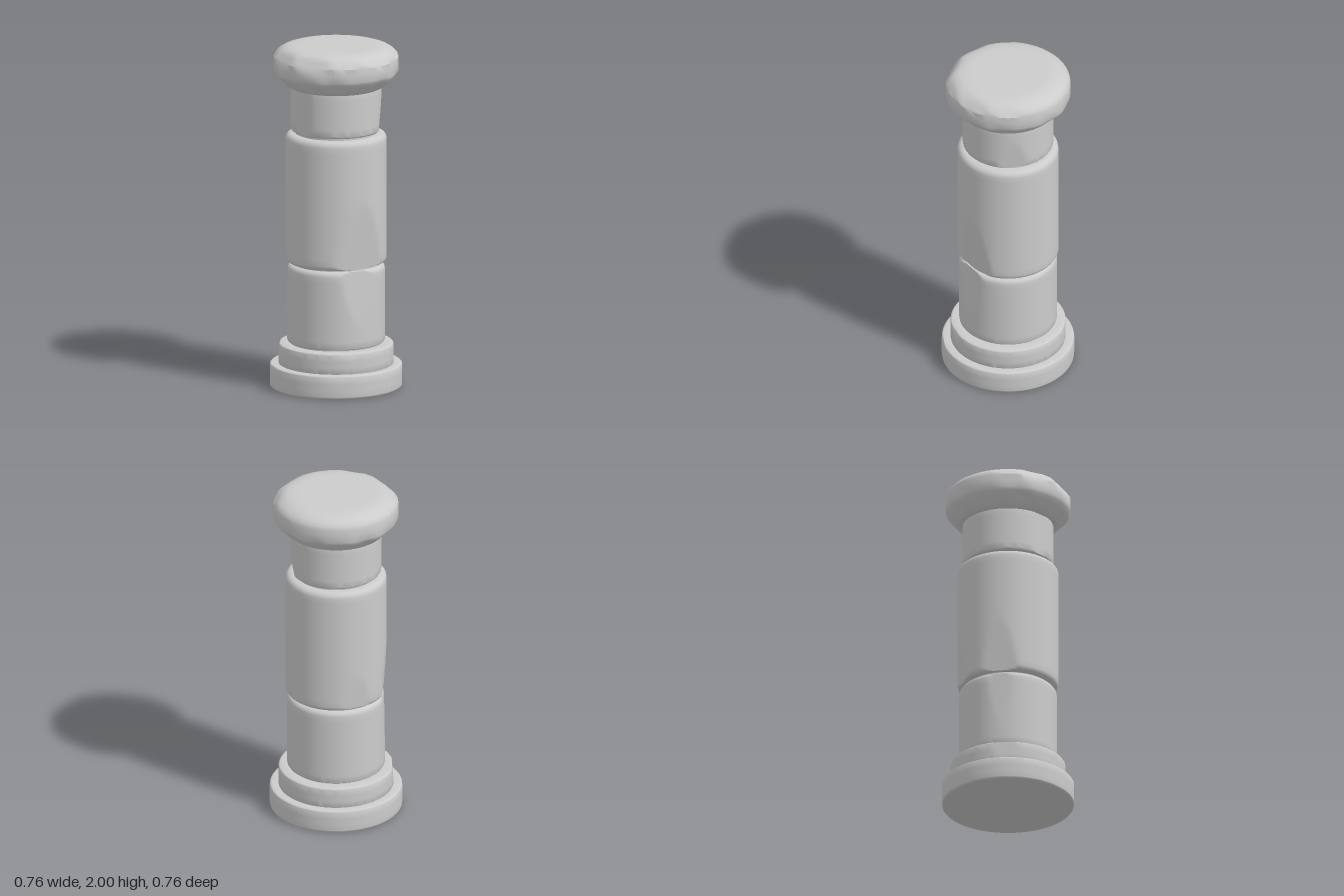
import * as THREE from 'three';
import { mergeVertices, toCreasedNormals } from 'three/addons/utils/BufferGeometryUtils.js';

const SIDES = 80;
const material = new THREE.MeshStandardMaterial({ color: 0xcccccc });

// Closed, finely ringed profile from a few [radius, height] corners.
function refine(corners, step = 0.035) {
  const out = [];
  corners.forEach(([r, y], i) => {
    if (i > 0) {
      const [r0, y0] = corners[i - 1];
      const n = Math.max(1, Math.round(Math.hypot(r - r0, y - y0) / step));
      for (let k = 1; k < n; k++) out.push(new THREE.Vector2(r0 + (r - r0) * k / n, y0 + (y - y0) * k / n));
    }
    out.push(new THREE.Vector2(r, y));
  });
  return out;
}

// Drum with quarter-round edges of size b at the bottom and t at the top.
function drumProfile(r, y0, y1, b, t) {
  const pts = [[0, y0]];
  for (let i = 0; i <= 4; i++) {
    const a = i / 4 * Math.PI / 2;
    pts.push([r - b + b * Math.sin(a), y0 + b - b * Math.cos(a)]);
  }
  for (let i = 0; i <= 4; i++) {
    const a = i / 4 * Math.PI / 2;
    pts.push([r - t + t * Math.cos(a), y1 - t + t * Math.sin(a)]);
  }
  pts.push([0, y1]);
  return pts;
}

// A chip is a slanted plane: azimuth from +z, tilt up, point radius and height.
// Stone beyond the plane is pressed back onto it.
function carve(geometry, chips, wear) {
  const p = geometry.attributes.position;
  const v = new THREE.Vector3();
  const planes = chips.map(([azimuth, tilt, radius, height]) => {
    const a = THREE.MathUtils.degToRad(azimuth), e = THREE.MathUtils.degToRad(tilt);
    const n = new THREE.Vector3(Math.sin(a) * Math.cos(e), Math.sin(e), Math.cos(a) * Math.cos(e));
    const at = new THREE.Vector3(Math.sin(a) * radius, height, Math.cos(a) * radius);
    return new THREE.Plane().setFromNormalAndCoplanarPoint(n, at);
  });
  for (let i = 0; i < p.count; i++) {
    v.fromBufferAttribute(p, i);
    if (wear) wear(v);
    for (const plane of planes) {
      const d = plane.distanceToPoint(v);
      if (d > 0) v.addScaledVector(plane.normal, -d);
    }
    p.setXYZ(i, v.x, v.y, v.z);
  }
}

function stone(name, corners, chips = [], wear = null) {
  let g = new THREE.LatheGeometry(refine(corners), SIDES);
  g.deleteAttribute('uv');
  g.deleteAttribute('normal');
  g = mergeVertices(g, 1e-5);
  carve(g, chips, wear);
  const mesh = new THREE.Mesh(toCreasedNormals(g, 0.6), material);
  mesh.name = name;
  return mesh;
}

// Uneven hewing on the sloping underside of the capital.
function capWear(v) {
  const a = Math.atan2(v.x, v.z);
  const fade = Math.max(0, 1 - Math.abs(v.y - 1.82) / 0.05);
  const s = 1 + fade * 0.013 * (Math.sin(a * 9 + 1) + Math.sin(a * 14));
  v.x *= s;
  v.z *= s;
}

export function createModel() {
  const group = new THREE.Group();
  group.name = 'column';
  group.add(
    stone('basePlinth', drumProfile(0.38, 0, 0.135, 0.012, 0.012), [[20, 30, 0.375, 0.128], [-50, 25, 0.375, 0.13]]),
    stone('upperPlinth', drumProfile(0.33, 0.13, 0.255, 0.008, 0.012), [[35, 30, 0.326, 0.245], [-75, 5, 0.325, 0.2]]),
    stone('lowerJoint', [[0, 0.25], [0.262, 0.25], [0.262, 0.275], [0, 0.275]]),
    stone('lowerDrum', drumProfile(0.28, 0.263, 0.722, 0.012, 0.03), [[48, 4, 0.273, 0.5], [-80, 2, 0.277, 0.5]]),
    stone('middleJoint', [[0, 0.71], [0.25, 0.71], [0.25, 0.745], [0, 0.745]]),
    // long splits run down the front corners of the middle drum
    stone('middleDrum', drumProfile(0.29, 0.73, 1.49, 0.03, 0.035), [
      [54, -6, 0.262, 0.85], [38, -3, 0.277, 0.8], [-80, -4, 0.276, 0.85], [-140, -4, 0.283, 0.85],
    ]),
    stone('upperJoint', [[0, 1.48], [0.235, 1.48], [0.235, 1.515], [0, 1.515]]),
    stone('neckDrum', drumProfile(0.26, 1.502, 1.77, 0.018, 0.01), [[110, -5, 0.251, 1.58], [-25, 0, 0.255, 1.6]]),
    stone('capital', [
      [0, 1.76], [0.262, 1.76], [0.285, 1.772], [0.35, 1.838], [0.358, 1.855],
      [0.358, 1.935], [0.352, 1.953], [0.335, 1.97], [0.31, 1.985], [0.28, 1.995], [0.24, 2], [0, 2],
    ], [
      [-5, 35, 0.335, 1.94], [-42, 38, 0.335, 1.945], [28, 38, 0.338, 1.955],
      [66, 40, 0.338, 1.95], [102, 42, 0.34, 1.955], [-70, 40, 0.34, 1.955], [150, 42, 0.343, 1.96],
    ], capWear),
  );
  return group;
}
